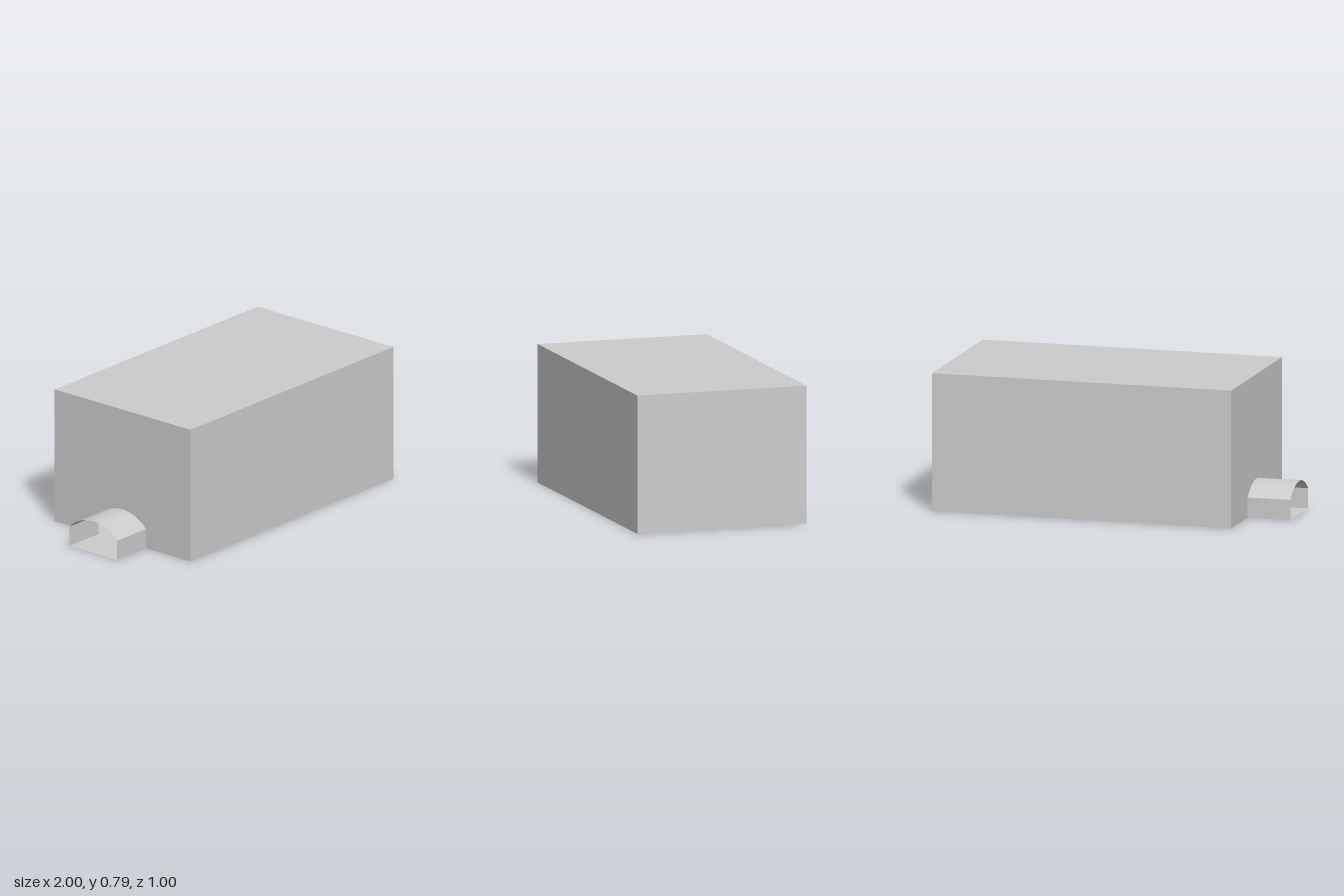
import * as THREE from 'three';

const X0 = -1, X1 = -0.75, X2 = 1;          // tunnel mouth, doorway wall, far wall
const H = 0.787, D = 0.5;                   // room height and half depth
const ZC = -0.003, W = 0.175;               // tunnel centre and half width
const SPRING = 0.115, TOP = 0.19;           // arch springing and crown heights
const RISE = TOP - SPRING;
const R = (W * W + RISE * RISE) / (2 * RISE);
const A = Math.asin(W / R);                 // half angle of the arch

export function createModel() {
  const group = new THREE.Group();
  const material = new THREE.MeshStandardMaterial({ color: 0xcccccc, side: THREE.DoubleSide });
  const add = (name, geometry, x = 0, y = 0, z = 0) => {
    const mesh = new THREE.Mesh(geometry, material);
    mesh.name = name;
    mesh.position.set(x, y, z);
    group.add(mesh);
  };
  const length = X2 - X1, midX = (X1 + X2) / 2;
  const tunnelLength = X1 - X0, tunnelX = (X0 + X1) / 2;

  // Room shell: thin sheets
  add('roof', new THREE.PlaneGeometry(length, 2 * D).rotateX(-Math.PI / 2), midX, H, 0);
  add('endWall', new THREE.PlaneGeometry(2 * D, H).rotateY(Math.PI / 2), X2, H / 2, 0);

  // Side walls of the room and of the tunnel
  for (const s of [1, -1]) {
    const turn = s > 0 ? 0 : Math.PI;
    const side = s > 0 ? 'front' : 'back';
    add(side + 'Wall', new THREE.PlaneGeometry(length, H).rotateY(turn), midX, H / 2, s * D);
    add(side + 'TunnelWall', new THREE.PlaneGeometry(tunnelLength, SPRING).rotateY(turn),
      tunnelX, SPRING / 2, ZC + s * W);
  }

  // Doorway wall, drawn in z and y around the arched opening
  const wall = new THREE.Shape();
  wall.moveTo(-D, 0);
  wall.lineTo(ZC - W, 0);
  wall.lineTo(ZC - W, SPRING);
  wall.absarc(ZC, TOP - R, R, Math.PI / 2 + A, Math.PI / 2 - A, true);
  wall.lineTo(ZC + W, 0);
  wall.lineTo(D, 0);
  wall.lineTo(D, H);
  wall.lineTo(-D, H);
  add('doorwayWall', new THREE.ShapeGeometry(wall, 24).rotateY(-Math.PI / 2), X1, 0, 0);

  // One floor under both room and tunnel, drawn in x and z
  const floor = new THREE.Shape([
    [X1, -D], [X2, -D], [X2, D], [X1, D],
    [X1, ZC + W], [X0, ZC + W], [X0, ZC - W], [X1, ZC - W],
  ].map(([x, z]) => new THREE.Vector2(x, z)));
  add('floor', new THREE.ShapeGeometry(floor).rotateX(Math.PI / 2));

  // Arched tunnel roof, open at both ends
  add('tunnelArch',
    new THREE.CylinderGeometry(R, R, tunnelLength, 24, 1, true, Math.PI / 2 - A, 2 * A)
      .rotateZ(Math.PI / 2),
    tunnelX, TOP - R, ZC);

  return group;
}
